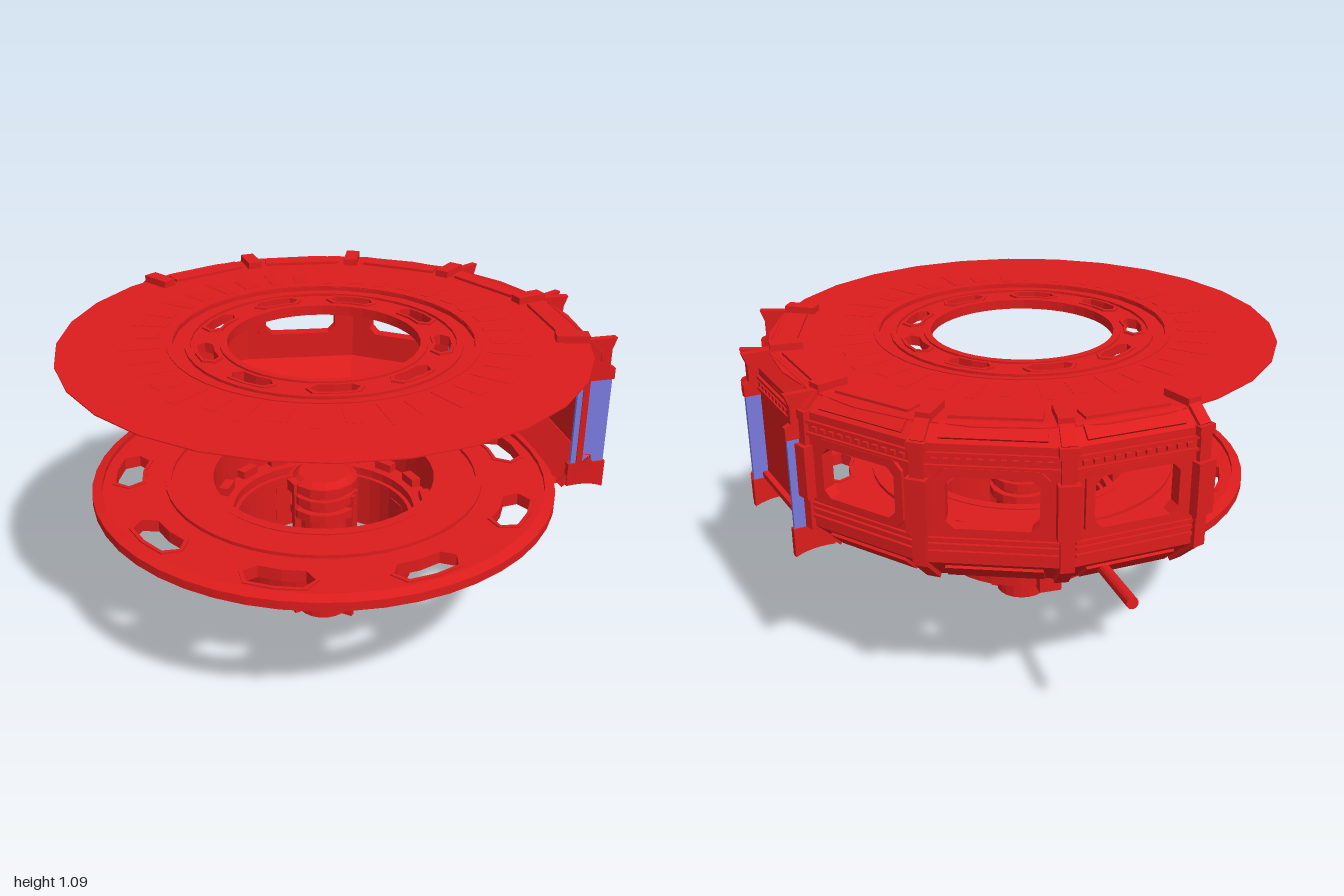
import * as THREE from 'three';

const red = new THREE.MeshStandardMaterial({ color: 0xdc1c1c, flatShading: true, side: THREE.DoubleSide });
const blue = new THREE.MeshStandardMaterial({ color: 0x7878dc, flatShading: true, side: THREE.DoubleSide });
const rad = THREE.MathUtils.degToRad;
const STEP = rad(360 / 13), START = rad(-19.5), HALF = STEP / 2, R = 0.925;
const APO = R * Math.cos(HALF), CHORD = 2 * R * Math.sin(HALF);

function add(parent, name, geometry, material = red) {
  const mesh = new THREE.Mesh(geometry, material);
  mesh.name = name;
  parent.add(mesh);
  return mesh;
}

function box(parent, name, w, h, d, x, y, z, material) {
  const mesh = add(parent, name, new THREE.BoxGeometry(w, h, d), material);
  mesh.position.set(x, y, z);
  return mesh;
}

// A group turned so its +z points outward at angle a (0 = back, growing toward +x)
function spoke(parent, name, a) {
  const g = new THREE.Group();
  g.name = name;
  g.rotation.y = Math.PI - a;
  parent.add(g);
  return g;
}

// Revolved ring from a closed [radius, y] outline
function ring(parent, name, pts, sides = 40, start = 0, length = Math.PI * 2) {
  const v = [...pts, pts[0]].map(([r, y]) => new THREE.Vector2(r, y));
  return add(parent, name, new THREE.LatheGeometry(v, sides, start, length));
}

const rect = (r0, r1, y0, y1) => [[r0, y0], [r1, y0], [r1, y1], [r0, y1]];
const polar = (r, a) => new THREE.Vector2(r * Math.sin(a), r * Math.cos(a));
const circle = (r, n) => Array.from({ length: n }, (_, i) => polar(r, (i + 0.5) / n * Math.PI * 2));

// Six-sided curved slot outline
function slot(r, a, w, s) {
  return [[0, -1], [1, -0.72], [1.1, 0], [1, 0.72], [0, 1], [-1, 0.72], [-0.9, 0], [-1, -0.72]]
    .map(([u, t]) => polar(r + u * w, a + t * s));
}

// Flat horizontal plate with holes, lying from y to y + h
function plate(parent, name, outline, holes, y, h) {
  const shape = new THREE.Shape(outline);
  holes.forEach(p => shape.holes.push(new THREE.Path(p)));
  const g = new THREE.ExtrudeGeometry(shape, { depth: h, bevelEnabled: false });
  g.rotateX(-Math.PI / 2).translate(0, y, 0);
  return add(parent, name, g);
}

function chamferRect(w, h, c, y) {
  const a = w / 2, b = h / 2;
  return [[-a + c, -b], [a - c, -b], [a, -b + c], [a, b - c], [a - c, b], [-a + c, b], [-a, b - c], [-a, -b + c]]
    .map(([px, py]) => new THREE.Vector2(px, py + y));
}

function upright(parent, name, outline, holes, z, depth) {
  const shape = new THREE.Shape(outline);
  holes.forEach(p => shape.holes.push(new THREE.Path(p)));
  const g = new THREE.ExtrudeGeometry(shape, { depth, bevelEnabled: false });
  return add(parent, name, g.translate(0, 0, z));
}

function buildRoof(axis) {
  const slots = Array.from({ length: 9 }, (_, i) => rad(3 + 40 * i));
  ring(axis, 'roofDisc', [[0.5, 1.055], [0.88, 1.06], [0.88, 1.064], [0.5, 1.07]], 28);
  plate(axis, 'roofInnerRing', circle(0.52, 40), [circle(0.325, 40), ...slots.map(a => slot(0.392, a, 0.026, 0.2))], 1.035, 0.022);
  ring(axis, 'roofInnerLip', rect(0.32, 0.345, 1.03, 1.064));
  ring(axis, 'roofMiddleLip', rect(0.44, 0.46, 1.03, 1.066));
  ring(axis, 'roofOuterLip', rect(0.5, 0.52, 1.035, 1.073));
  slots.forEach(a => plate(axis, 'slotFrame', slot(0.392, a, 0.036, 0.235), [slot(0.392, a, 0.026, 0.2)], 1.03, 0.034));
  // Radial ribs around the middle of the roof
  for (let i = 0; i < 36; i++) {
    const g = spoke(axis, 'roofRib', (i / 36) * Math.PI * 2);
    const rib = box(g, 'rib', i % 2 ? 0.035 : 0.055, 0.004, i % 2 ? 0.14 : 0.1, 0, 1.0675, i % 2 ? 0.61 : 0.6);
    rib.rotation.x = 0.022;
  }
}

function buildBase(axis) {
  const holes = Array.from({ length: 9 }, (_, i) => rad(20 + 40 * i));
  plate(axis, 'floorDisc', circle(0.79, 48), [circle(0.41, 48), ...holes.map(a => slot(0.675, a, 0.045, 0.17))], 0.525, 0.03);
  holes.forEach(a => plate(axis, 'floorSlotFrame', slot(0.675, a, 0.057, 0.19), [slot(0.675, a, 0.045, 0.17)], 0.518, 0.042));
  ring(axis, 'floorRim', [[0.765, 0.52], [0.8, 0.53], [0.8, 0.56], [0.765, 0.57]], 48);
  ring(axis, 'floorStep', rect(0.53, 0.55, 0.5, 0.567), 48);
  ring(axis, 'floorUnderRing', [[0.4, 0.495], [0.5, 0.495], [0.54, 0.525], [0.4, 0.525]], 48);
  // Open stepped well below the floor
  ring(axis, 'wellUpper', [[0.385, 0.42], [0.4, 0.42], [0.4, 0.555], [0.42, 0.565], [0.385, 0.565]]);
  ring(axis, 'wellLedge', [[0.32, 0.4], [0.385, 0.4], [0.4, 0.415], [0.4, 0.43], [0.32, 0.43]]);
  ring(axis, 'wellLower', rect(0.305, 0.32, 0.2, 0.4));
  ring(axis, 'wellBand', rect(0.31, 0.327, 0.36, 0.385));
  for (let i = 0; i < 16; i++) {
    const g = spoke(axis, 'wellBlock', (i / 16) * Math.PI * 2);
    box(g, 'block', 0.07, 0.03, 0.035, 0, 0.445, 0.365);
  }
  // Brackets on the back and the left of the well
  [0, 90].forEach(deg => {
    const g = spoke(axis, 'wellBracket', rad(deg));
    box(g, 'lowerBracket', 0.08, 0.17, 0.06, 0, 0.28, 0.33);
    box(g, 'upperBracket', 0.1, 0.1, 0.09, 0, 0.44, 0.43);
  });
  const grille = spoke(axis, 'grille', rad(132));
  box(grille, 'grilleBack', 0.2, 0.09, 0.04, 0, 0.45, 0.4);
  for (let i = 0; i < 4; i++) box(grille, 'louver', 0.18, 0.01, 0.03, 0, 0.42 + i * 0.02, 0.42);
  for (let i = 0; i < 9; i++) {
    const g = spoke(axis, 'underBlock', rad(40 * i));
    box(g, 'block', 0.12, 0.03, 0.07, 0, 0.505, 0.575);
  }
}

function buildColumn(axis) {
  const column = add(axis, 'column', new THREE.CylinderGeometry(0.095, 0.095, 0.5, 20));
  column.position.y = 0.265;
  [[0.44, 0.12], [0.49, 0.115], [0.54, 0.12]].forEach(([y, r]) => {
    add(axis, 'columnCollar', new THREE.CylinderGeometry(r, r, 0.03, 14)).position.y = y;
  });
  add(axis, 'columnCap', new THREE.CylinderGeometry(0.09, 0.115, 0.02, 14)).position.y = 0.562;
  const fins = [[-90, 0.015], [123, 0], [145, 0]];
  fins.forEach(([deg, y0]) => {
    const g = spoke(axis, 'columnFin', rad(deg));
    box(g, 'fin', 0.02, 0.5, 0.04, 0, y0 + 0.25, 0.1);
  });
  box(axis, 'columnTab', 0.04, 0.04, 0.05, -0.11, 0.54, 0);
}

function buildWall(axis) {
  const phi = Math.PI - (START + 5 * STEP);
  // Sloped skirt and cornice sweeping through all five bays
  ring(axis, 'wallSkirt', [[0.79, 0.525], [0.83, 0.53], [R, 0.62], [R, 0.64], [R - 0.03, 0.64], [0.79, 0.545]], 5, phi, 5 * STEP);
  ring(axis, 'wallCornice', [[R - 0.03, 0.99], [R, 0.99], [R, 1.015], [0.87, 1.066], [0.8, 1.066], [0.8, 1.05]], 5, phi, 5 * STEP);
  for (let i = 0; i < 5; i++) {
    const g = spoke(axis, i < 3 ? 'windowBay' : 'doorBay', START + (i + 0.5) * STEP);
    if (i < 3) buildWindow(g); else buildDoor(g);
    // Trim rails and the row of studs under the cornice
    box(g, 'upperRail', CHORD - 0.04, 0.01, 0.02, 0, 0.985, APO);
    box(g, 'studRail', CHORD - 0.04, 0.01, 0.02, 0, 0.945, APO);
    for (let k = 0; k < 11; k++) box(g, 'stud', 0.018, 0.015, 0.02, (k - 5) * 0.034, 0.965, APO);
    // Raised covers on the slopes
    const top = box(g, 'corniceCover', 0.32, 0.012, 0.05, 0, 1.046, 0.872);
    top.rotation.x = 0.76;
    const low = box(g, 'skirtCover', 0.3, 0.012, 0.08, 0, 0.572, 0.854);
    low.rotation.x = -0.78;
    box(g, 'roofPad', 0.28, 0.01, 0.06, 0, 1.07, 0.8);
  }
  for (let i = 0; i <= 5; i++) buildPost(spoke(axis, 'post', START + i * STEP), i);
}

function buildWindow(g) {
  const outer = [[-1, 0.63], [1, 0.63], [1, 1], [-1, 1]].map(([s, y]) => new THREE.Vector2(s * CHORD / 2, y));
  const pane = chamferRect(0.28, 0.17, 0.025, 0.83);
  upright(g, 'windowWall', outer, [pane], APO - 0.03, 0.03);
  upright(g, 'windowFrame', chamferRect(0.34, 0.225, 0.03, 0.83), [pane], APO - 0.035, 0.047);
  [0.66, 0.685, 0.705].forEach(y => box(g, 'lowerRail', CHORD - 0.05, 0.01, 0.02, 0, y, APO));
}

function buildDoor(g) {
  box(g, 'doorPanel', CHORD - 0.05, 0.38, 0.025, 0, 0.81, APO - 0.012);
  box(g, 'doorSill', CHORD - 0.05, 0.02, 0.03, 0, 0.625, APO + 0.005);
  const bottom = new THREE.Shape();
  bottom.moveTo(0.82, 0.61).lineTo(0.82, 0.525).quadraticCurveTo(0.9, 0.535, 0.955, 0.51);
  bottom.lineTo(0.955, 0.61);
  const top = new THREE.Shape();
  top.moveTo(0.83, 0.92).lineTo(0.955, 0.92).lineTo(0.955, 0.96).lineTo(0.935, 0.97);
  top.lineTo(0.935, 1.03).lineTo(0.95, 1.07).lineTo(0.83, 1.07);
  // Blue side fins held by brackets above and below
  for (const s of [-1, 1]) {
    const x = s * (CHORD / 2 - 0.016);
    box(g, 'sideFin', 0.012, 0.31, 0.12, x, 0.765, 0.89, blue);
    for (const shape of [bottom, top]) {
      const geo = new THREE.ExtrudeGeometry(shape, { depth: 0.024, bevelEnabled: false, curveSegments: 6 });
      geo.rotateY(-Math.PI / 2).translate(x + 0.012, 0, 0);
      add(g, 'finBracket', geo);
    }
  }
}

function buildPost(g, i) {
  const beside = i > 3;
  const w = beside ? 0.02 : 0.045;
  if (!beside) {
    box(g, 'postBody', w, 0.4, 0.04, 0, 0.81, R - 0.01);
    box(g, 'postGrip', 0.068, 0.18, 0.05, 0, 0.815, R);
    box(g, 'postCollar', 0.06, 0.03, 0.045, 0, 1.005, R - 0.008);
  } else {
    box(g, 'postBody', w, 0.4, 0.02, 0, 0.81, R - 0.04);
  }
  const upper = box(g, 'postUpperArm', w, 0.02, 0.085, 0, 1.045, 0.89);
  upper.rotation.x = 0.75;
  const lower = box(g, 'postLowerArm', w, 0.025, 0.14, 0, 0.575, 0.875);
  lower.rotation.x = -0.76;
  box(g, 'roofBlock', 0.05, 0.025, 0.11, 0, 1.077, 0.82);
}

export function createModel() {
  const model = new THREE.Group();
  model.name = 'roundControlRoom';
  const axis = new THREE.Group();
  axis.name = 'roomAssembly';
  axis.position.set(-0.055, 0, 0.12);
  model.add(axis);
  buildRoof(axis);
  buildBase(axis);
  buildColumn(axis);
  buildWall(axis);
  // Pipe out of the back
  const pipe = add(axis, 'backPipe', new THREE.CylinderGeometry(0.019, 0.019, 0.3, 12));
  pipe.rotation.x = Math.PI / 2 + 0.08;
  pipe.position.set(0, 0.585, -0.969);
  return model;
}
